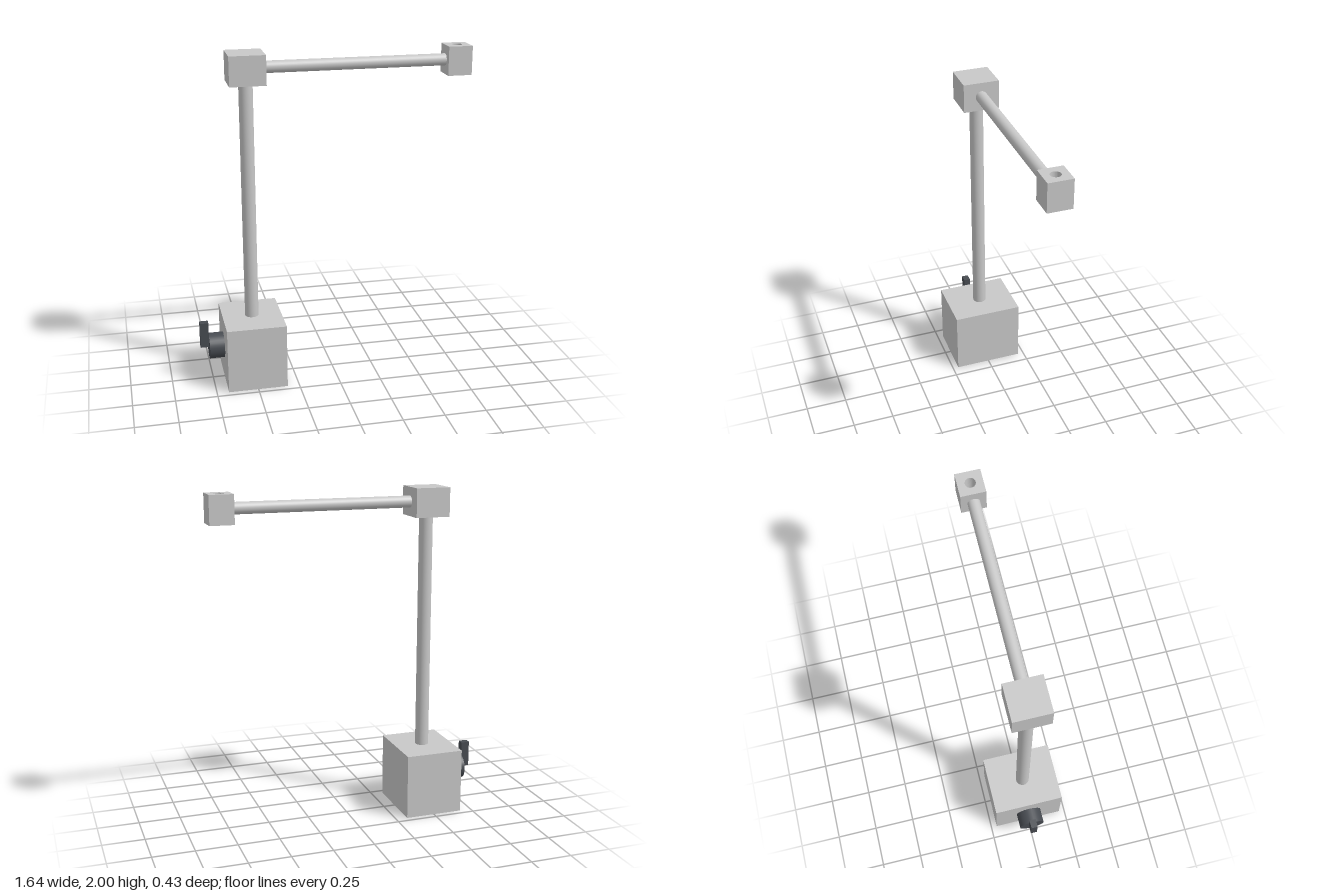
import * as THREE from 'three';

export function createModel() {
  const model = new THREE.Group();
  model.name = 'clampStand';

  const lightGrey = new THREE.MeshStandardMaterial({ color: 0xc8c8c8 });
  lightGrey.name = 'light grey metal';
  const darkGrey = new THREE.MeshStandardMaterial({ color: 0x484c52 });
  darkGrey.name = 'dark grey knob';

  const add = (name, geometry, material, x, y, z = 0) => {
    const mesh = new THREE.Mesh(geometry, material);
    mesh.name = name;
    mesh.position.set(x, y, z);
    model.add(mesh);
    return mesh;
  };
  const rod = (radius, length) => new THREE.CylinderGeometry(radius, radius, length, 32);

  const postX = -0.5;
  const armY = 1.914;

  // Base block, upright post and corner block
  add('base', new THREE.BoxGeometry(0.357, 0.397, 0.428), lightGrey, postX, 0.1985);
  add('post', rod(0.041, 1.431), lightGrey, postX, 1.1125);
  add('cornerBlock', new THREE.BoxGeometry(0.21, 0.172, 0.214), lightGrey, postX, armY);

  // Horizontal arm
  const armStart = -0.395, armEnd = 0.677;
  add('arm', rod(0.035, armEnd - armStart).rotateZ(Math.PI / 2), lightGrey, (armStart + armEnd) / 2, armY);

  // End block with a vertical through hole
  const half = 0.0715, height = 0.17;
  const outline = new THREE.Shape();
  outline.moveTo(-half, -half);
  outline.lineTo(half, -half);
  outline.lineTo(half, half);
  outline.lineTo(-half, half);
  outline.closePath();
  const hole = new THREE.Path();
  hole.absarc(0, 0, 0.03, 0, Math.PI * 2, true);
  outline.holes.push(hole);
  const endBlock = new THREE.ExtrudeGeometry(outline, { depth: height, bevelEnabled: false, curveSegments: 16 });
  endBlock.rotateX(-Math.PI / 2);
  add('endBlock', endBlock, lightGrey, 0.748, armY - height / 2);

  // Side knob with its lever
  const knobY = 0.216;
  add('knob', rod(0.078, 0.09).rotateZ(Math.PI / 2), darkGrey, -0.7235, knobY);
  add('lever', new THREE.BoxGeometry(0.052, 0.158, 0.04), darkGrey, -0.794, 0.295);

  return model;
}
